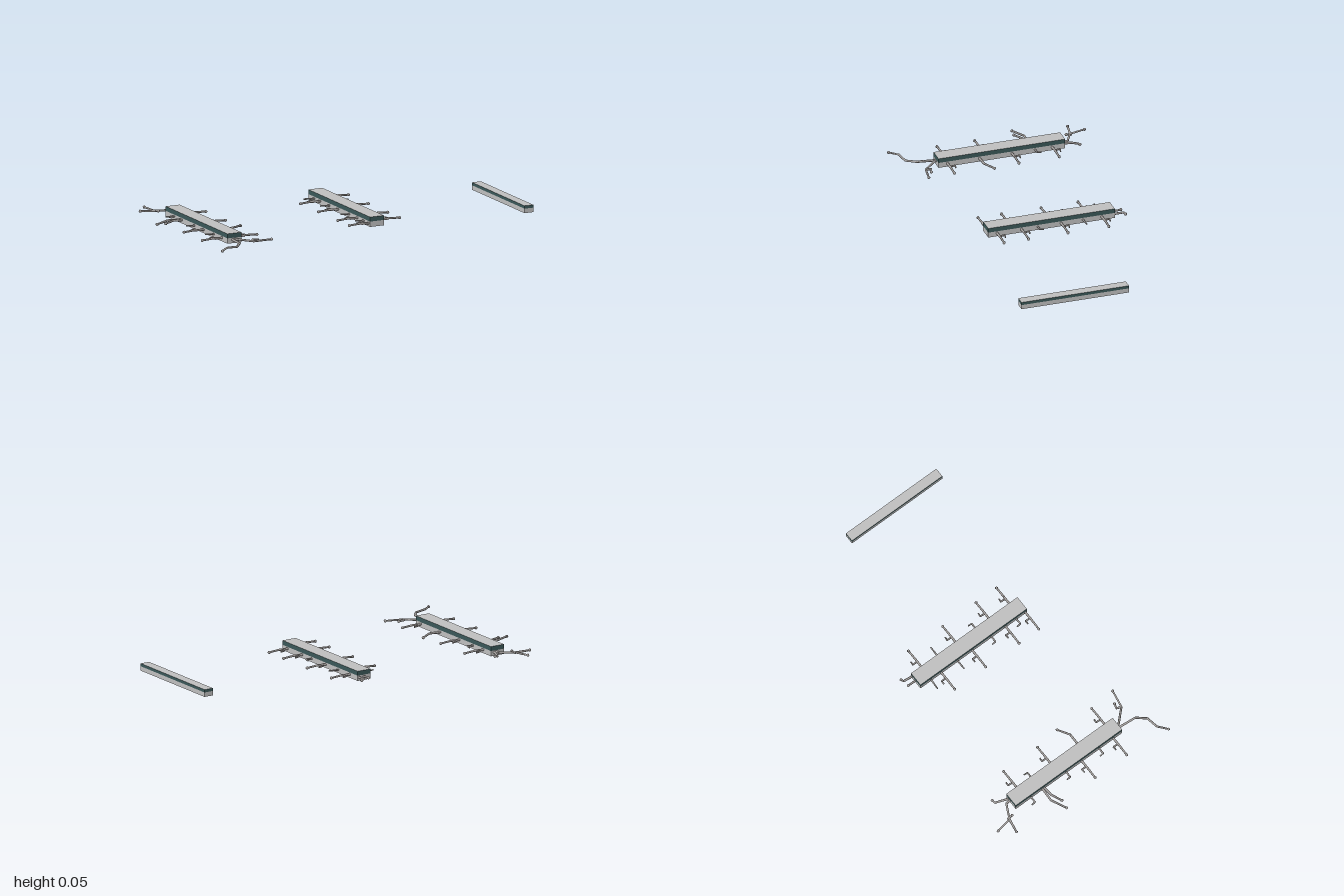
import * as THREE from 'three';
import { mergeGeometries } from 'three/addons/utils/BufferGeometryUtils.js';

const mat = (name, color) => Object.assign(new THREE.MeshStandardMaterial({ color }), { name });

export function createModel() {
  const root = new THREE.Group();
  root.name = 'beamsWithTwigs';
  const grey = mat('paleGrey', 0xbebebe);
  const teal = mat('darkTeal', 0x3a5758);
  const twigMat = mat('twigGrey', 0xa6a2a0);

  // A twig is a chain of tapering six-sided rods ending in a knob; points are [x, z]
  function twig(parent, name, points, r = 0.007, knob = true) {
    const pts = points.map(([x, z], i) => new THREE.Vector3(x, 0.019 + (i % 2) * 0.004, z));
    const parts = [];
    for (let i = 1; i < pts.length; i++) {
      const dir = pts[i].clone().sub(pts[i - 1]);
      const len = dir.length();
      const taper = (k) => r * (1 - 0.25 * k / (pts.length - 1));
      const g = new THREE.CylinderGeometry(taper(i), taper(i - 1), len + 0.003, 6);
      g.applyQuaternion(new THREE.Quaternion().setFromUnitVectors(new THREE.Vector3(0, 1, 0), dir.normalize()));
      const mid = pts[i].clone().add(pts[i - 1]).multiplyScalar(0.5);
      parts.push(g.translate(mid.x, mid.y, mid.z));
    }
    if (knob) {
      const end = pts[pts.length - 1];
      parts.push(new THREE.SphereGeometry(r * 1.25, 6, 4).translate(end.x, end.y, end.z));
    }
    const mesh = new THREE.Mesh(mergeGeometries(parts), twigMat);
    mesh.name = name;
    parent.add(mesh);
  }

  // A beam is a teal-edged slab on a pale lower block
  function beam(name, x, z, length, width, height, split) {
    const group = new THREE.Group();
    group.name = name;
    group.position.set(x, 0, z);
    group.rotation.y = -0.738;
    const layer = (label, y0, y1, mats) => {
      const mesh = new THREE.Mesh(new THREE.BoxGeometry(length, y1 - y0, width), mats);
      mesh.position.y = (y0 + y1) / 2;
      mesh.name = label;
      group.add(mesh);
    };
    layer('slab', split, height, [teal, teal, grey, teal, teal, teal]);
    layer('lowerBlock', 0, split, grey);
    root.add(group);
    return group;
  }

  // Long side twig with a bent offshoot; s = -1 or 1 picks the side
  function longTwig(group, u, s) {
    twig(group, 'longTwig', [[u, s * 0.03], [u, s * 0.1], [u, s * 0.164]]);
    twig(group, 'offshoot', [[u, s * 0.085], [u - 0.03, s * 0.085], [u - 0.028, s * 0.105]], 0.0055, false);
  }
  // Short hooked side twig
  function hook(group, u, s) {
    twig(group, 'hookTwig', [[u, s * 0.03], [u, s * 0.08], [u - 0.022, s * 0.082]], 0.0055, false);
  }

  beam('plainBeam', 0.752, -0.744, 0.617, 0.054, 0.041, 0.025);

  const middle = beam('middleBeam', 0.046, -0.201, 0.726, 0.085, 0.055, 0.03);
  [-0.288, -0.054, 0.173, 0.313].forEach((u) => longTwig(middle, u, -1));
  [-0.222, -0.01, 0.217, 0.352].forEach((u) => longTwig(middle, u, 1));
  hook(middle, 0.08, -1);
  [0.12, 0.29].forEach((u) => hook(middle, u, 1));
  twig(middle, 'straightTwig', [[-0.18, -0.03], [-0.18, -0.105]], 0.0055, false);
  twig(middle, 'straightTwig', [[-0.29, 0.03], [-0.295, 0.105]], 0.0055, false);
  twig(middle, 'straightTwig', [[-0.11, 0.03], [-0.11, 0.1]], 0.0055, false);

  const front = beam('frontBeam', -0.546, 0.434, 0.726, 0.085, 0.055, 0.03);
  [-0.288, -0.057, 0.313].forEach((u) => longTwig(front, u, -1));
  [0.086, 0.302].forEach((u) => longTwig(front, u, 1));
  hook(front, -0.19, -1);
  [-0.26, -0.02, 0.205].forEach((u) => hook(front, u, 1));
  twig(front, 'bentTwig', [[0.128, -0.03], [0.128, -0.114], [0.089, -0.18]]);
  twig(front, 'bentTwig', [[-0.18, 0.03], [-0.185, 0.125], [-0.143, 0.21]]);
  twig(front, 'bentTwig', [[-0.17, 0.03], [-0.165, 0.1], [-0.137, 0.16]]);

  // Branching twigs at the beam ends
  [
    [[-0.78, 0.2], [-0.83, 0.167], [-0.915, 0.2], [-0.993, 0.152]],
    [[-0.915, 0.2], [-0.98, 0.25]],
    [[-0.915, 0.19], [-0.89, 0.21]],
    [[-0.79, 0.19], [-0.82, 0.135], [-0.835, 0.105], [-0.825, 0.088]],
    [[-0.31, 0.66], [-0.27, 0.683], [-0.165, 0.68], [-0.085, 0.617]],
    [[-0.165, 0.68], [-0.18, 0.655], [-0.155, 0.64]],
    [[-0.31, 0.66], [-0.215, 0.765], [-0.205, 0.83], [-0.243, 0.89], [-0.245, 0.955]],
    [[-0.18, -0.45], [-0.235, -0.51], [-0.228, -0.525]],
    [[-0.19, -0.42], [-0.255, -0.48]],
  ].forEach((p) => twig(root, 'endTwig', p));

  return root;
}
